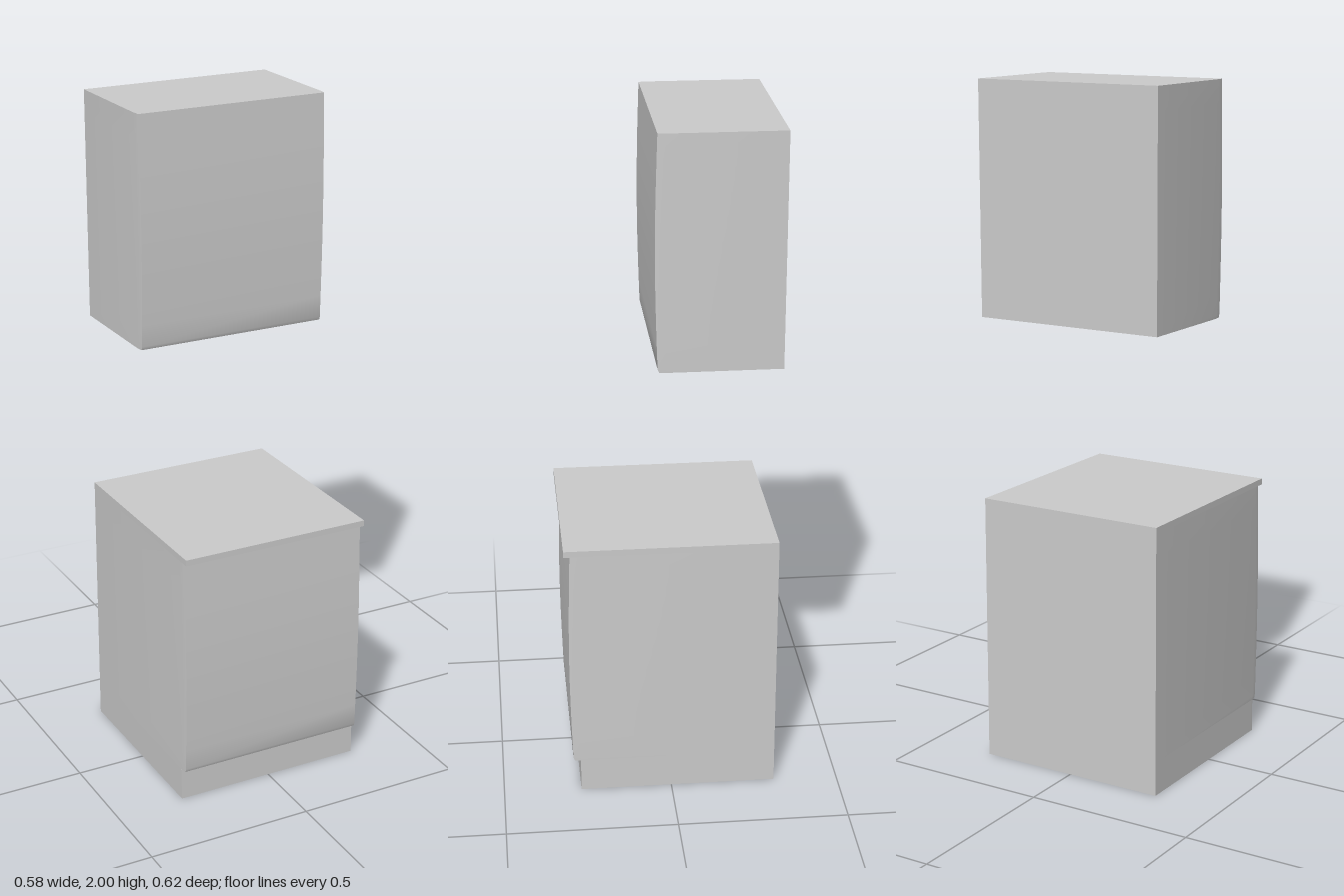
import * as THREE from 'three';
import { toCreasedNormals } from 'three/addons/utils/BufferGeometryUtils.js';

const W = 0.29, BACK = -0.31;
const grey = new THREE.MeshStandardMaterial({ color: 0xcccccc, side: THREE.DoubleSide });

// Horizontal outline of a cabinet: square at the back, door edges slightly tapered
function outline({ y, z, inset }) {
  const side = z - (inset ? 0.022 : 0.01);
  return [[W, BACK], [-W, BACK], [-W, side], [-W + inset, z], [W - inset, z], [W, side]]
    .map(([x, d]) => [x, y, d]);
}

// Gently bowed door front between two heights, with an eased lower edge
function doorLevels(y0, y1, z, steps = 10) {
  const levels = [{ y: y0, z: z - 0.004, inset: 0.003 }];
  for (let i = 0; i <= steps; i++) {
    const t = i / steps;
    levels.push({
      y: y0 + 0.01 + (y1 - y0 - 0.01) * t,
      z: z + 0.007 * Math.sin(Math.PI * t),
      inset: 0.003,
    });
  }
  return levels;
}

// Skin stacked outlines into a shell, optionally closed at both ends
function cabinetShell(name, levels, capped) {
  const rings = levels.map(outline), n = rings[0].length, pos = [];
  const tri = (a, b, c) => pos.push(...a, ...b, ...c);
  for (let i = 0; i < rings.length - 1; i++) {
    for (let j = 0; j < n; j++) {
      const k = (j + 1) % n;
      const a = rings[i][j], b = rings[i][k], c = rings[i + 1][k], d = rings[i + 1][j];
      tri(a, b, c);
      tri(a, c, d);
    }
  }
  if (capped) {
    const lo = rings[0], hi = rings[rings.length - 1];
    for (let j = 1; j < n - 1; j++) {
      tri(lo[0], lo[j + 1], lo[j]);
      tri(hi[0], hi[j], hi[j + 1]);
    }
  }
  const geo = new THREE.BufferGeometry();
  geo.setAttribute('position', new THREE.Float32BufferAttribute(pos, 3));
  const mesh = new THREE.Mesh(toCreasedNormals(geo, 0.4), grey);
  mesh.name = name;
  return mesh;
}

export function createModel() {
  const group = new THREE.Group();
  group.name = 'kitchenCabinets';

  // Base unit: recessed plinth below a bowed door, open underneath
  group.add(cabinetShell('baseCabinet', [
    { y: 0, z: 0.27, inset: 0 },
    { y: 0.1, z: 0.27, inset: 0 },
    ...doorLevels(0.1, 0.777, 0.292),
  ], false));

  // Worktop with a small front overhang
  const worktop = new THREE.Mesh(new THREE.BoxGeometry(2 * W, 0.018, 0.62), grey);
  worktop.name = 'worktop';
  worktop.position.y = 0.786;
  group.add(worktop);

  // Closed wall unit
  group.add(cabinetShell('wallCabinet', doorLevels(1.33, 2, 0.04), true));

  return group;
}
